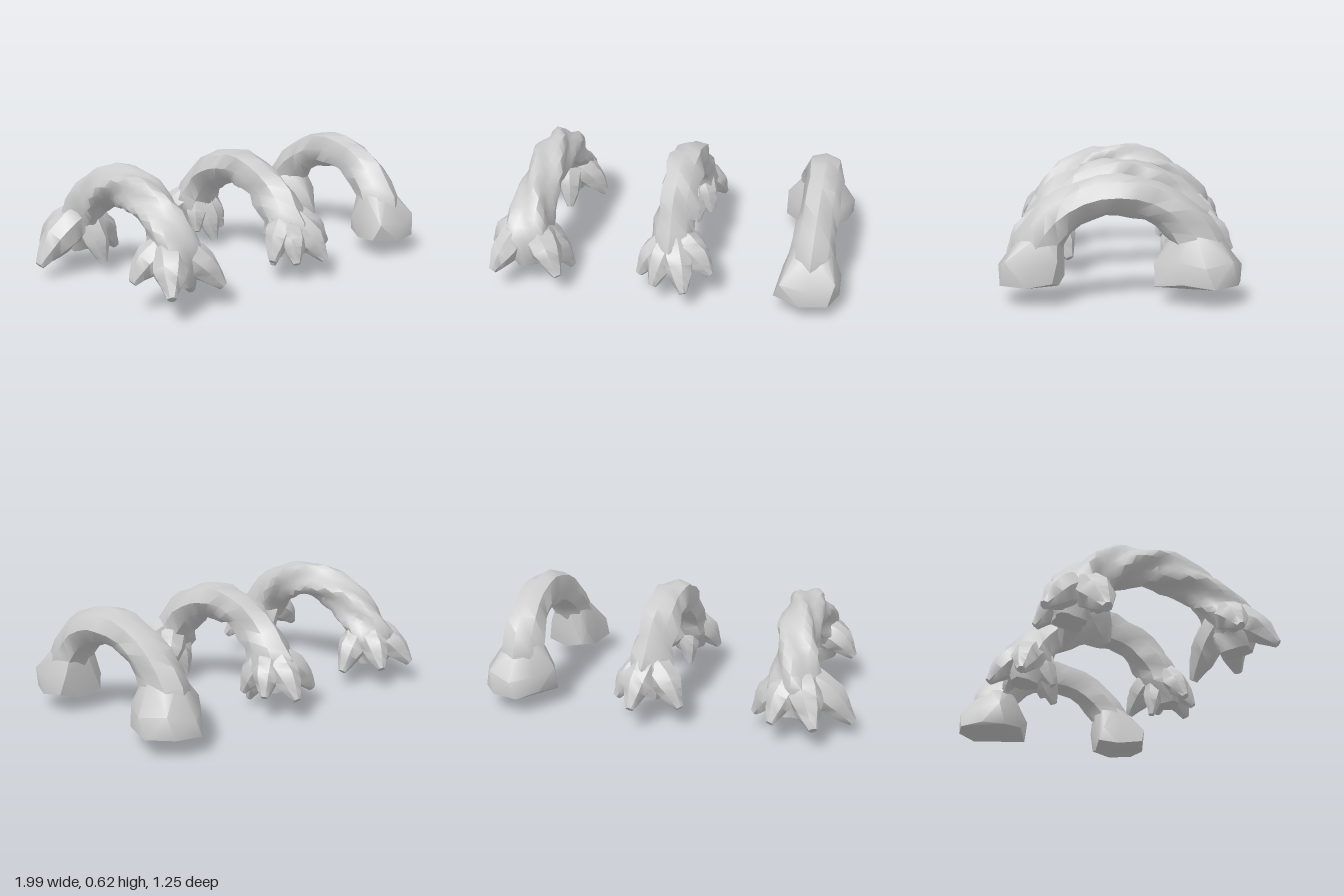
import * as THREE from 'three';
import { mergeVertices, toCreasedNormals } from 'three/addons/utils/BufferGeometryUtils.js';
import { ConvexGeometry } from 'three/addons/geometries/ConvexGeometry.js';

const material = new THREE.MeshStandardMaterial({ color: 0xcccccc });

function addPart(group, name, geometry) {
  geometry.deleteAttribute('normal');
  const mesh = new THREE.Mesh(toCreasedNormals(mergeVertices(geometry, 1e-4), 0.75), material);
  mesh.name = name;
  group.add(mesh);
}

// Closed sweep along a curve: tapering radii, twisted lobes and knotty rings
function sweep(points, radii, { rings, sides, lobes = 0, depth = 0, twist = 0, knots = 0 }) {
  const curve = new THREE.CatmullRomCurve3(points);
  const { normals, binormals } = curve.computeFrenetFrames(rings);
  const vertices = [], index = [];
  for (let i = 0; i <= rings; i++) {
    const t = i / rings;
    const f = t * (radii.length - 1), k = Math.min(Math.floor(f), radii.length - 2);
    const base = THREE.MathUtils.lerp(radii[k], radii[k + 1], f - k);
    for (let j = 0; j < sides; j++) {
      const a = (j / sides) * Math.PI * 2;
      const r = base * (1 + depth * Math.cos(lobes * (a + twist * t))
        + knots * (Math.sin(i * 2.1 + j * 2.4) + 0.5 * Math.sin(i * 1.7)));
      vertices.push(curve.getPointAt(t).addScaledVector(normals[i], r * Math.cos(a))
        .addScaledVector(binormals[i], r * Math.sin(a)));
    }
  }
  const at = (i, j) => i * sides + (j % sides);
  const start = vertices.length, end = start + 1;
  vertices.push(curve.getPointAt(0), curve.getPointAt(1));
  for (let j = 0; j < sides; j++) {
    for (let i = 0; i < rings; i++) {
      index.push(at(i, j), at(i, j + 1), at(i + 1, j), at(i, j + 1), at(i + 1, j + 1), at(i + 1, j));
    }
    index.push(start, at(0, j + 1), at(0, j), end, at(rings, j), at(rings, j + 1));
  }
  const geometry = new THREE.BufferGeometry().setFromPoints(vertices);
  geometry.setIndex(index);
  return geometry;
}

// Half-elliptic stem from front foot to back foot, bowing sideways towards the feet
function stem({ x, bow, span, style }) {
  const points = [];
  for (let i = 0; i <= 10; i++) {
    const c = Math.cos((i / 10) * Math.PI), s = Math.sin((i / 10) * Math.PI);
    points.push(new THREE.Vector3(x + bow * c * c, 0.12 + 0.405 * s, span * c));
  }
  const half = [0.08, 0.125, 0.11, 0.1, 0.1];
  return sweep(points, [...half, 0.1, ...half.toReversed()], style);
}

// Point around a foot: 0 degrees is +x, 90 degrees is away from the arch; end is 1 front, -1 back
function around(x, end, degrees, reach, y, z = 0.4) {
  const a = THREE.MathUtils.degToRad(degrees);
  return new THREE.Vector3(x + reach * Math.cos(a), y, end * (z + reach * Math.sin(a)));
}

// Fat root toe that leaves the leg and narrows to its tip
function toe(x, end, [degrees, reach, y]) {
  const neck = new THREE.Vector3(x, 0.31, end * 0.38);
  const tip = around(x, end, degrees, reach, y);
  const middle = neck.clone().lerp(tip, 0.55);
  middle.y += 0.025;
  const r = 0.05 + 0.17 * reach;
  return sweep([neck, middle, tip], [r * 0.75, r, r * 0.95, r * 0.65, r * 0.25],
    { rings: 7, sides: 7, knots: 0.06 });
}

// Blocky foot: hull of a narrow neck, a wide rim and a sole, with one reach per eighth turn
function block(x, end, reaches) {
  const points = reaches.flatMap((reach, i) => [
    around(x, end, i * 45, 0.095, 0.35, 0.36),
    around(x, end, i * 45, reach * 0.93, 0.2 + 0.02 * Math.sin(i * 2)),
    around(x, end, i * 45 + 12, reach * 0.95, 0.1 + 0.02 * Math.sin(i * 3)),
  ]);
  return new ConvexGeometry(points);
}

// Toes are [degrees, reach, tip height]
const rightArch = {
  name: 'rightArch', x: -0.66, bow: -0.03, span: 0.45,
  style: { rings: 30, sides: 16, lobes: 4, depth: 0.15, twist: 5.5, knots: 0.03 },
  makeFoot: toe, footName: 'toe',
  front: [[127, 0.25, 0.13], [40, 0.25, 0.11], [190, 0.21, 0.16], [-27, 0.22, 0.02]],
  back: [[120, 0.25, 0.12], [63, 0.21, 0.12], [186, 0.29, 0.08], [0, 0.21, 0.09], [-79, 0.16, 0.06]],
};
const middleArch = {
  name: 'middleArch', x: 0.075, bow: 0.01, span: 0.42,
  style: { rings: 18, sides: 8, lobes: 3, depth: 0.1, twist: 3, knots: 0.09 },
  makeFoot: toe, footName: 'toe',
  front: [[160, 0.18, 0.12], [18, 0.22, 0.16], [65, 0.21, 0.11], [118, 0.17, 0.11], [-41, 0.21, 0.1], [-110, 0.09, 0.04]],
  back: [[153, 0.22, 0.11], [79, 0.21, 0.12], [28, 0.17, 0.13], [-52, 0.16, 0.1], [-124, 0.14, 0.1], [-83, 0.16, 0.04]],
};
const leftArch = {
  name: 'leftArch', x: 0.82, bow: -0.02, span: 0.42,
  style: { rings: 16, sides: 8, lobes: 3, depth: 0.06, twist: 2.5, knots: 0.05 },
  makeFoot: block, footName: 'foot',
  front: [[0.17, 0.2, 0.19, 0.22, 0.15, 0.17, 0.12, 0.17]],
  back: [[0.21, 0.2, 0.2, 0.16, 0.2, 0.2, 0.25, 0.2]],
};

export function createModel() {
  const model = new THREE.Group();
  model.name = 'rootArches';
  for (const arch of [rightArch, middleArch, leftArch]) {
    const group = new THREE.Group();
    group.name = arch.name;
    // Gnarled stem, then the splayed toes or solid foot at each end
    addPart(group, 'stem', stem(arch));
    const footX = arch.x + arch.bow;
    arch.front.forEach((shape) => addPart(group, `${arch.footName}Front`, arch.makeFoot(footX, 1, shape)));
    arch.back.forEach((shape) => addPart(group, `${arch.footName}Back`, arch.makeFoot(footX, -1, shape)));
    model.add(group);
  }
  return model;
}
